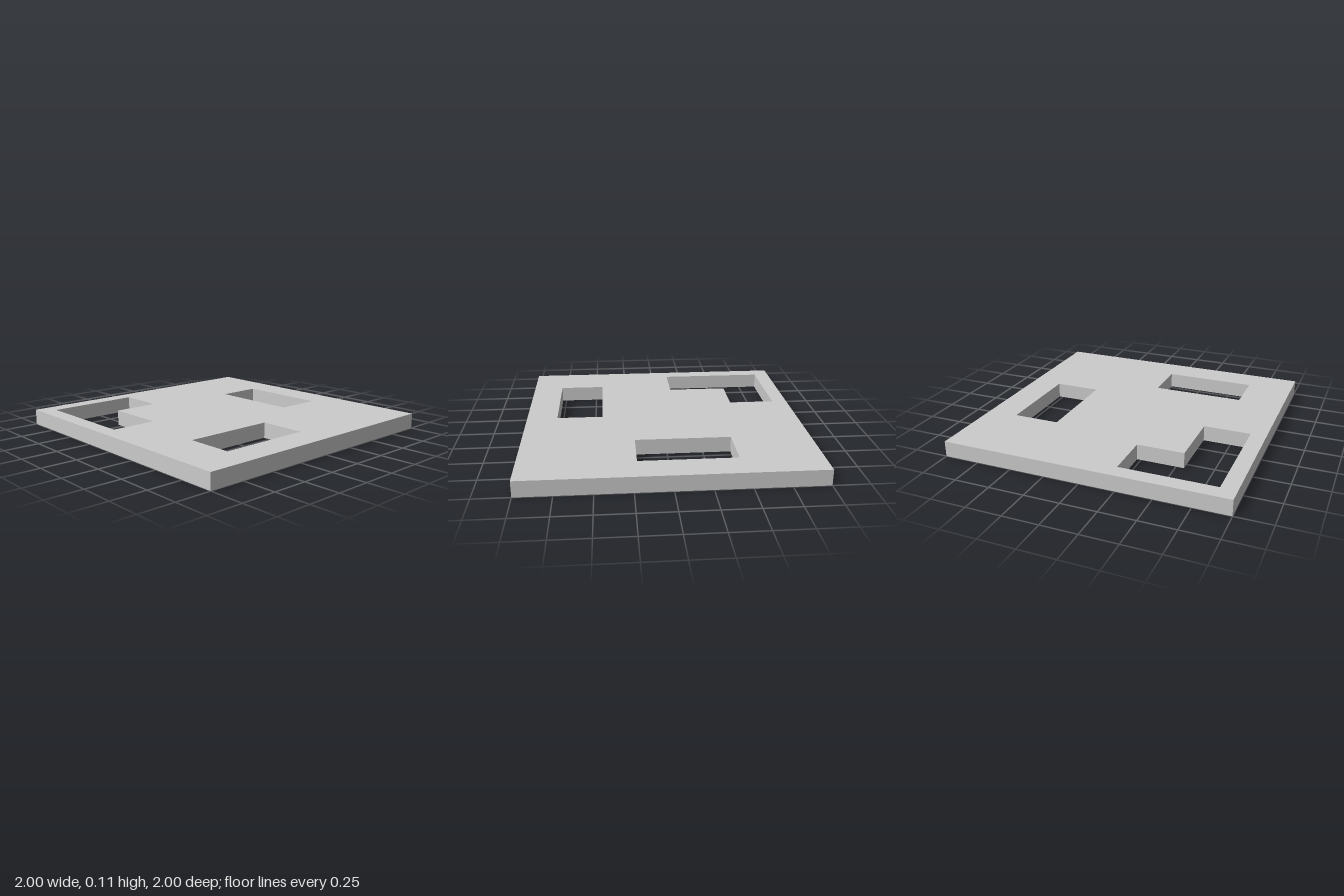
import * as THREE from 'three';

// The plate is laid out on a grid of 18 x 18 cells, one cell thick
const CELL = 1 / 9;

const outline = (points) => points.map(([x, z]) => new THREE.Vector2(x * CELL, z * CELL));
const rect = (x0, z0, x1, z1) => [[x0, z0], [x1, z0], [x1, z1], [x0, z1]];

export function createModel() {
  const group = new THREE.Group();
  group.name = 'slottedPlate';

  // Square plate, drawn in x and z
  const shape = new THREE.Shape(outline(rect(-9, -9, 9, 9)));

  // Cut-outs: back slot, left slot and the L-shaped opening at the front right
  const cutouts = [
    rect(-4, -7, 2, -4),
    rect(4, 0, 7, 6),
    [[-8, 2], [-5, 2], [-5, 5], [-1, 5], [-1, 8], [-8, 8]],
  ];
  for (const points of cutouts) shape.holes.push(new THREE.Path(outline(points)));

  // Lay the extrusion flat so that shape y becomes z, and stand it on the ground
  const geometry = new THREE.ExtrudeGeometry(shape, { depth: CELL, bevelEnabled: false });
  geometry.rotateX(Math.PI / 2).translate(0, CELL, 0);

  const plate = new THREE.Mesh(geometry, new THREE.MeshStandardMaterial({ color: 0xcccccc }));
  plate.name = 'plate';
  group.add(plate);
  return group;
}
